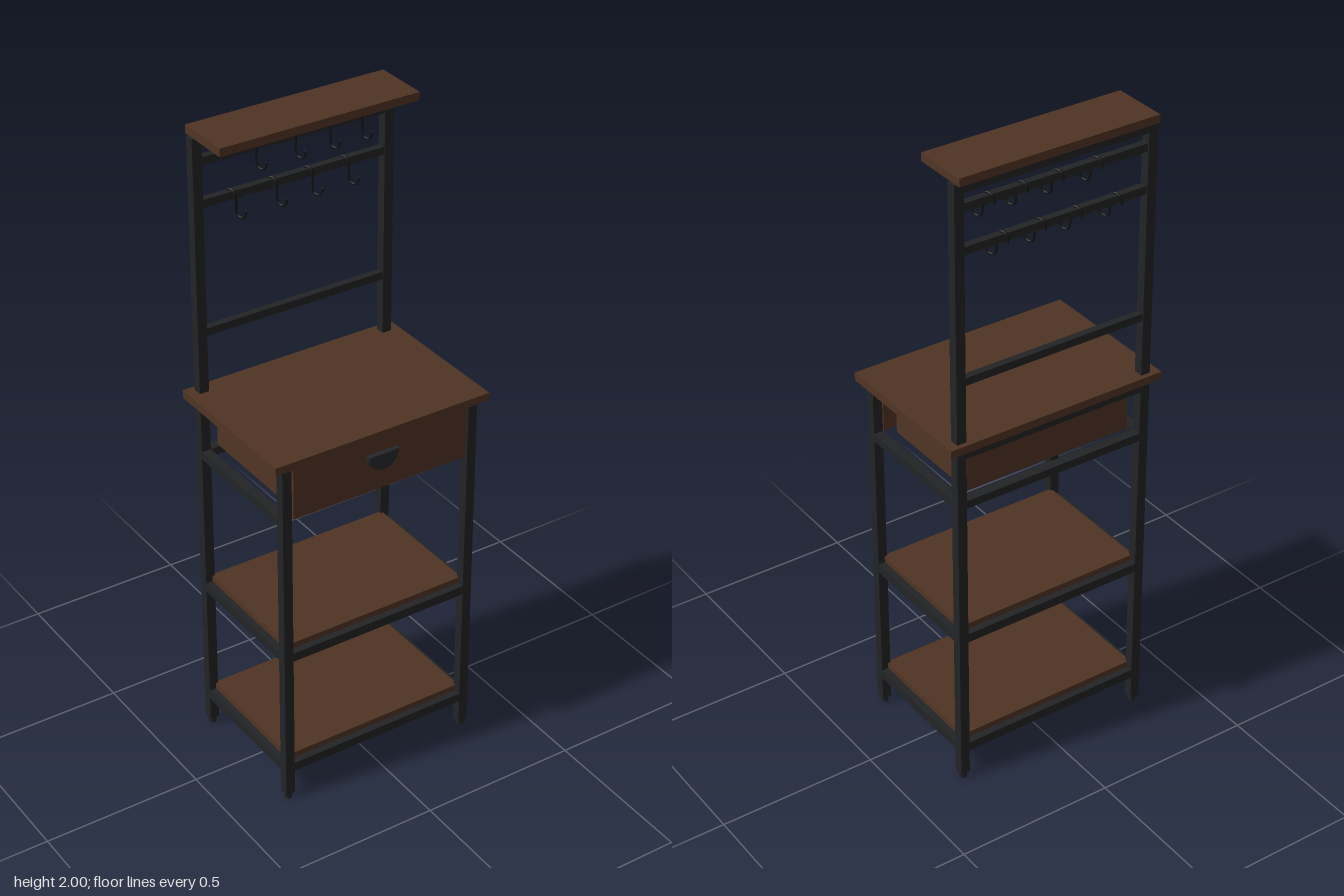
import * as THREE from 'three';

export function createModel() {
  const root = new THREE.Group();
  root.name = 'kitchenRack';
  const mat = (name, color) => {
    const m = new THREE.MeshStandardMaterial({ color });
    m.name = name;
    return m;
  };
  const wood = mat('dark wood', 0x503423);
  const metal = mat('black metal', 0x222325);
  const handleMetal = mat('handle metal', 0x25282c);
  const hookMetal = mat('hook metal', 0x121212);

  const add = (parent, name, geometry, material, x = 0, y = 0, z = 0) => {
    const mesh = new THREE.Mesh(geometry, material);
    mesh.name = name;
    mesh.position.set(x, y, z);
    parent.add(mesh);
    return mesh;
  };
  // Box given by its lowest and highest corner
  const box = (parent, name, material, [x0, y0, z0], [x1, y1, z1]) =>
    add(parent, name, new THREE.BoxGeometry(x1 - x0, y1 - y0, z1 - z0), material,
      (x0 + x1) / 2, (y0 + y1) / 2, (z0 + z1) / 2);

  const PX = 0.312, PZ = 0.215, H = 0.015; // post centres and half width
  const IX = PX - H, IZ = PZ - H;          // inner faces of the posts

  // Posts and feet
  for (const sx of [-1, 1]) {
    for (const sz of [-1, 1]) {
      const top = sz < 0 ? 1.975 : 1.16;
      box(root, sz < 0 ? 'backPost' : 'frontPost', metal,
        [sx * PX - H, 0.02, sz * PZ - H], [sx * PX + H, top, sz * PZ + H]);
      add(root, 'foot', new THREE.CylinderGeometry(0.012, 0.012, 0.022, 16), metal, sx * PX, 0.011, sz * PZ);
    }
  }

  // Rails running across and along the sides
  const crossRail = (name, y0, y1, z, half = H) =>
    box(root, name, metal, [-IX, y0, z - half], [IX, y1, z + half]);
  const sideRails = (y0, y1) => {
    for (const s of [-1, 1]) {
      box(root, 'sideRail', metal, [s * PX - H, y0, -IZ], [s * PX + H, y1, IZ]);
    }
  };

  // Lower shelves: a rail frame with a board on top
  for (const y of [0.1, 0.5]) {
    crossRail('shelfFrontRail', y, y + 0.029, PZ);
    crossRail('shelfBackRail', y, y + 0.029, -PZ);
    sideRails(y, y + 0.029);
    box(root, 'shelfBoard', wood, [-0.305, y + 0.029, -0.208], [0.305, y + 0.048, 0.208]);
  }

  // Frame round the drawer
  for (const [y0, y1] of [[0.965, 0.99], [1.13, 1.16]]) {
    crossRail('drawerBackRail', y0, y1, -PZ);
    sideRails(y0, y1);
  }

  // Worktop and top shelf
  box(root, 'worktop', wood, [-0.357, 1.16, -0.245], [0.357, 1.185, 0.245]);
  box(root, 'topShelf', wood, [-0.32, 1.975, -0.245], [0.32, 2.0, -0.068]);

  // Drawer: tray, front panel and half-round pull
  const drawer = new THREE.Group();
  drawer.name = 'drawer';
  root.add(drawer);
  const DX = 0.275, T = 0.012, Y0 = 1.0, Y1 = 1.14, Z0 = -0.198, Z1 = 0.16;
  box(drawer, 'drawerBottom', wood, [-DX, Y0, Z0], [DX, Y0 + T, Z1]);
  for (const s of [-1, 1]) {
    const x = s * (DX - T / 2);
    box(drawer, 'drawerSide', wood, [x - T / 2, Y0 + T, Z0], [x + T / 2, Y1, Z1]);
  }
  for (const z of [Z0, Z1 - T]) {
    box(drawer, 'drawerEnd', wood, [-DX + T, Y0 + T, z], [DX - T, Y1, z + T]);
  }
  box(drawer, 'drawerFront', wood, [-0.291, 0.986, 0.205], [0.291, 1.158, 0.229]);

  const half = new THREE.Shape();
  half.moveTo(-0.047, 0);
  half.absarc(0, 0, 0.047, Math.PI, Math.PI * 2, false);
  half.closePath();
  add(drawer, 'drawerPull', new THREE.ExtrudeGeometry(half, {
    depth: 0.008, bevelEnabled: true, bevelSize: 0.004, bevelThickness: 0.004, bevelSegments: 2, curveSegments: 20,
  }), handleMetal, 0, 1.106, 0.232);

  // Thin hanging bars and the top rail
  crossRail('topRail', 1.945, 1.975, -PZ);
  const bars = [1.374, 1.773, 1.901];
  for (const y of bars) crossRail('hangingBar', y - 0.012, y + 0.012, -PZ, 0.011);

  // S-shaped hooks: over the bar, down, and curling forward
  const arc = (cx, cy, r, from, to, n) => Array.from({ length: n + 1 }, (_, i) => {
    const a = from + (to - from) * i / n;
    return new THREE.Vector3(0, cy + r * Math.sin(a), cx + r * Math.cos(a));
  });
  const path = new THREE.CatmullRomCurve3([
    new THREE.Vector3(0, -0.012, -0.018),
    ...arc(0, -0.003, 0.018, Math.PI, 0, 6),
    new THREE.Vector3(0, -0.03, 0.018),
    ...arc(0.034, -0.046, 0.016, Math.PI, Math.PI * 2, 6),
    new THREE.Vector3(0, -0.038, 0.052),
  ]);
  const hookGeometry = new THREE.TubeGeometry(path, 40, 0.0035, 8);
  const tipGeometry = new THREE.SphereGeometry(0.004, 10, 8);
  const rows = [[1.901, [-0.134, -0.008, 0.106, 0.212]], [1.773, [-0.202, -0.07, 0.047, 0.168]]];
  for (const [y, xs] of rows) {
    for (const x of xs) {
      const hook = new THREE.Group();
      hook.name = 'hook';
      hook.position.set(x, y, -PZ);
      hook.rotation.y = 0.4;
      add(hook, 'hookWire', hookGeometry, hookMetal);
      add(hook, 'hookTip', tipGeometry, hookMetal, 0, -0.038, 0.052);
      add(hook, 'hookTip', tipGeometry, hookMetal, 0, -0.012, -0.018);
      root.add(hook);
    }
  }
  return root;
}
